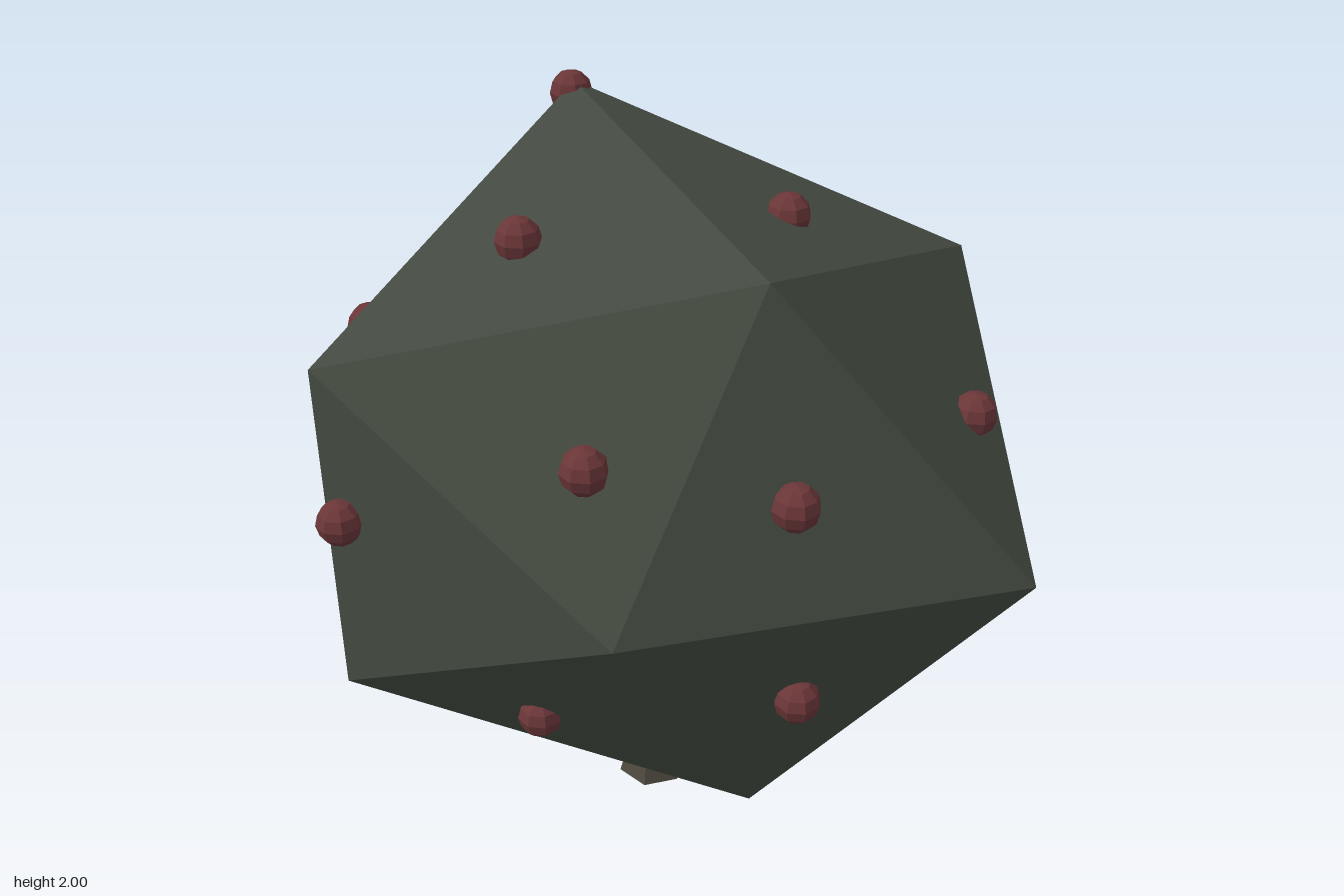
import * as THREE from 'three';
import { ConvexGeometry } from 'three/addons/geometries/ConvexGeometry.js';

const flat = (color) => new THREE.MeshStandardMaterial({ color, flatShading: true });

export function createModel() {
  const tree = new THREE.Group();
  tree.name = 'berryTree';

  const add = (name, geometry, material, x = 0, y = 0, z = 0) => {
    const mesh = new THREE.Mesh(geometry, material);
    mesh.name = name;
    mesh.position.set(x, y, z);
    tree.add(mesh);
  };

  // Six-sided trunk, flared at the foot and running up into the crown
  const profile = [[0, 0], [0.104, 0], [0.066, 0.14], [0.055, 0.36], [0.05, 0.5], [0, 0.5]]
    .map(([r, y]) => new THREE.Vector2(r, y));
  add('trunk', new THREE.LatheGeometry(profile, 6, Math.PI / 2), flat(0x4f4a3e), -0.026, 0, 0.04);

  // Crown: a squashed, slightly uneven icosahedron with one raised corner
  const corners = [
    [-0.07, 1.97, -0.597], [0.097, 1.83, 0.575], // top pair
    [-0.07, 0.297, -0.597], [0.097, 0.297, 0.575], // bottom pair
    [-0.34, 1.061, 0.81], [0.722, 1.061, 0.84], // front pair
    [0.355, 1.061, -0.8], [-0.58, 1.061, -0.822], // back pair
    [0.947, 1.538, -0.155], [0.947, 0.589, -0.155], // left pair
    [-0.915, 1.538, 0.13], [-0.915, 0.589, 0.13], // right pair
  ].map((p) => new THREE.Vector3(...p));
  add('crown', new ConvexGeometry(corners), flat(0x444a40));

  // Berries sitting half sunk in the crown's faces
  const berry = new THREE.SphereGeometry(0.061, 8, 6);
  const red = flat(0x6b3638);
  [
    [-0.08, 1.94, -0.597], [-0.367, 1.773, 0.03], [0.333, 1.773, 0.058],
    [-0.343, 1.42, 0.584], [0.12, 1.337, 0.742], [0.708, 1.347, 0.46],
    [-0.888, 1.14, 0.2], [0.153, 0.76, 0.74], [-0.445, 0.612, 0.44],
    [0.39, 0.477, 0.456], [0.87, 0.89, 0.235], [0.425, 1.618, -0.51],
    [0.838, 1.003, -0.325], [-0.087, 1.268, -0.796], [0.073, 0.76, -0.77],
    [0.34, 0.525, -0.53], [-0.73, 1.49, -0.188], [-0.787, 1.05, -0.37],
    [-0.4, 0.58, -0.57],
  ].forEach((p, i) => add(`berry${i + 1}`, berry, red, ...p));

  return tree;
}
